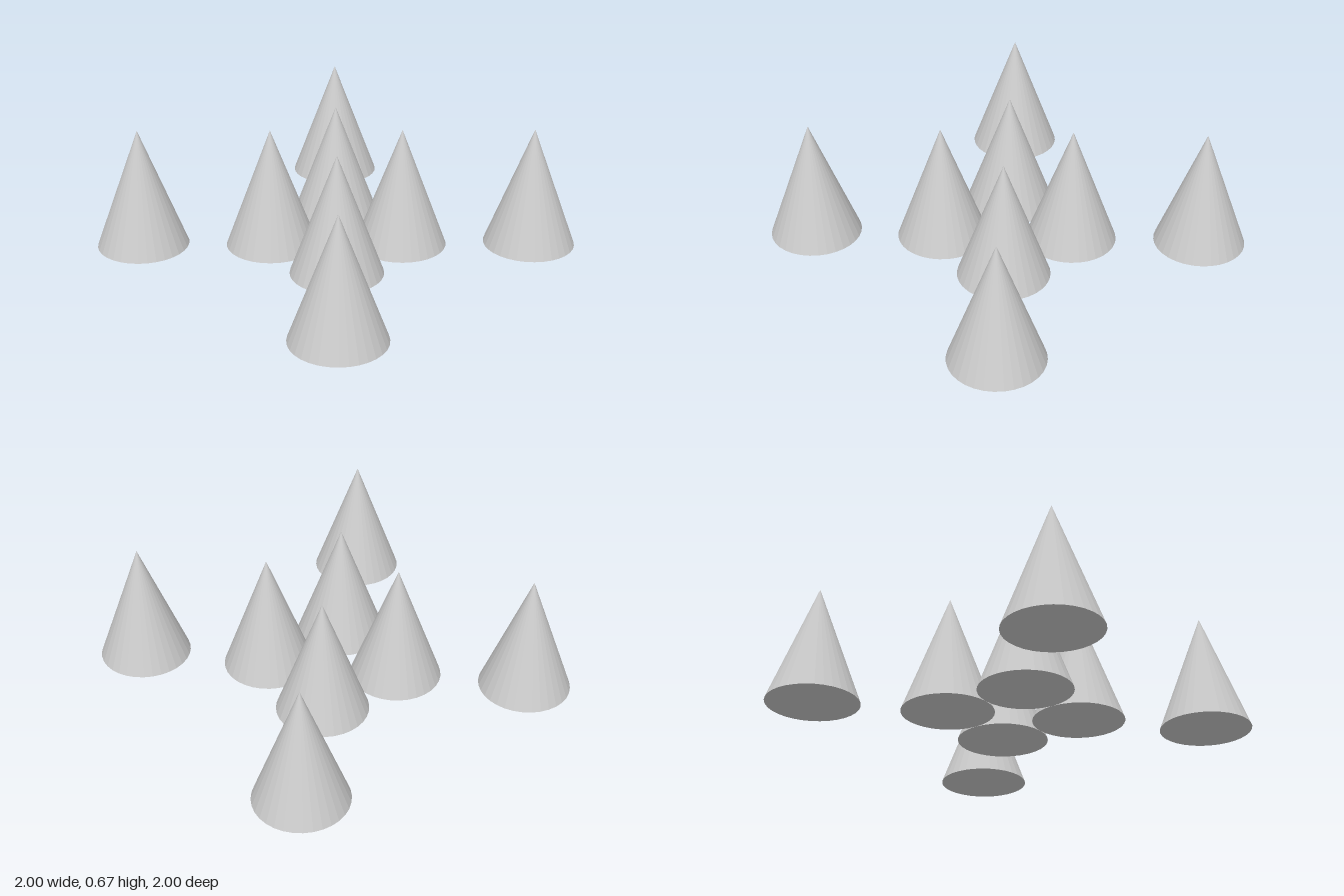
import * as THREE from 'three';

export function createModel() {
  const model = new THREE.Group();
  model.name = 'coneArrangement';
  const material = new THREE.MeshStandardMaterial({ color: 0xcccccc, flatShading: true });

  const radius = 0.25;
  const height = 0.665;
  const geometry = new THREE.ConeGeometry(radius, height, 32);
  geometry.translate(0, height / 2, 0);

  // Cones stand along both diagonals: four touching in the middle, four at the corners
  for (const [ring, offset] of [['inner', 0.25], ['outer', 0.75]]) {
    for (const [side, sx] of [['Left', 1], ['Right', -1]]) {
      for (const [end, sz] of [['Front', 1], ['Back', -1]]) {
        const cone = new THREE.Mesh(geometry, material);
        cone.name = `${ring}${end}${side}Cone`;
        cone.position.set(sx * offset, 0, sz * offset);
        model.add(cone);
      }
    }
  }
  return model;
}
